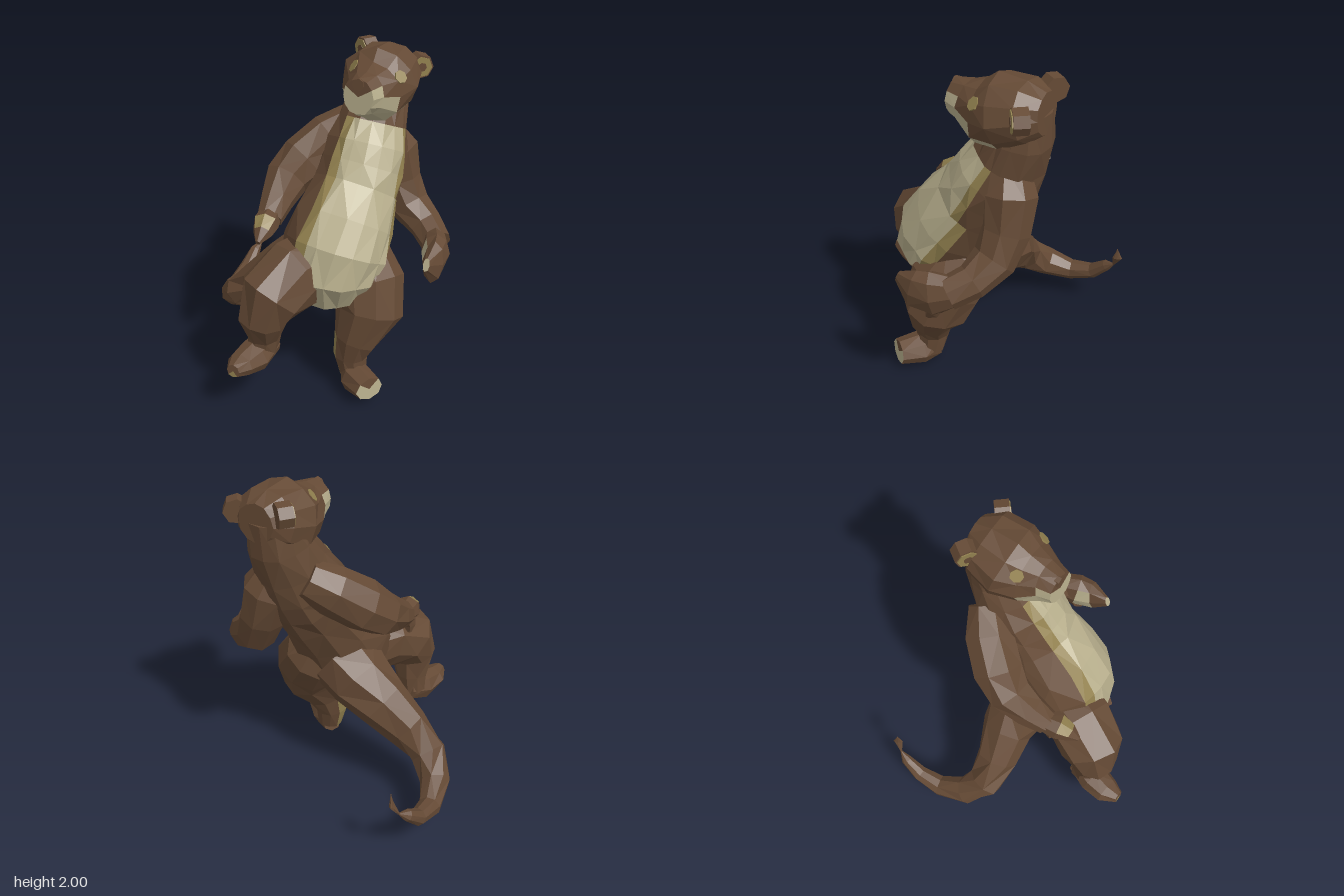
import * as THREE from 'three';

const V = (x, y, z) => new THREE.Vector3(x, y, z);
const paint = (name, color) => Object.assign(new THREE.MeshStandardMaterial({ color }), { name });
const brown = paint('brown fur', 0x654a35);
const cream = paint('cream fur', 0xb7ae8c);
const tan = paint('tan fur', 0x92814f);
const MATS = [brown, cream, tan];

const ring = n => Array.from({ length: n }, (_, i) => (i * 360) / n);

// Faceted skin over rows of [x, y, z, half width, half depth].
// Angle 0 lies towards `front`; pick(row, folded angle, full angle) gives the
// colour index, with row -1 for the start cap and the last row for the end cap.
function loft(name, rows, front, angles = ring(8), pick = () => 0) {
  const centre = rows.map(r => V(r[0], r[1], r[2]));
  const last = rows.length - 1;
  const n = angles.length;
  const rings = rows.map((r, j) => {
    const t = centre[Math.min(j + 1, last)].clone().sub(centre[Math.max(j - 1, 0)]).normalize();
    const f = front.clone().addScaledVector(t, -front.dot(t)).normalize();
    const s = t.clone().cross(f);
    return angles.map((deg, i) => {
      const a = THREE.MathUtils.degToRad(deg);
      const wobble = 1 + 0.03 * Math.sin(i * 2.7 + j * 4.1);
      return centre[j].clone()
        .addScaledVector(f, Math.cos(a) * (r[4] ?? r[3]) * wobble)
        .addScaledVector(s, Math.sin(a) * r[3] * wobble);
    });
  });
  const faces = [[], [], []];
  for (let i = 0; i < n; i++) {
    const k = (i + 1) % n;
    const full = (angles[i] + (k ? angles[k] : angles[0] + 360)) / 2;
    const folded = full > 180 ? 360 - full : full;
    faces[pick(-1, folded, full)].push(centre[0], rings[0][k], rings[0][i]);
    faces[pick(last, folded, full)].push(centre[last], rings[last][i], rings[last][k]);
    for (let j = 0; j < last; j++) {
      const [a, b, c, d] = [rings[j][i], rings[j][k], rings[j + 1][k], rings[j + 1][i]];
      const tris = (i + j) % 2 ? [a, b, c, a, c, d] : [a, b, d, b, c, d];
      faces[pick(j, folded, full)].push(...tris);
    }
  }
  const geo = new THREE.BufferGeometry().setFromPoints(faces.flat());
  let start = 0;
  faces.forEach((list, m) => {
    if (list.length) geo.addGroup(start, list.length, m);
    start += list.length;
  });
  geo.computeVertexNormals();
  const mesh = new THREE.Mesh(geo, MATS);
  mesh.name = name;
  return mesh;
}

// Disc whose axis points along dir
function disc(name, mat, radius, depth, pos, dir, sides = 7) {
  const geo = new THREE.CylinderGeometry(radius, radius, depth, sides).toNonIndexed();
  geo.computeVertexNormals();
  const mesh = new THREE.Mesh(geo, mat);
  mesh.name = name;
  mesh.position.copy(pos);
  mesh.quaternion.setFromUnitVectors(V(0, 1, 0), dir);
  return mesh;
}

export function createModel() {
  const model = new THREE.Group();
  model.name = 'otter';
  const UP = V(0, 1, 0);

  // Leaning torso and neck, cream belly edged in tan
  model.add(loft('torso', [
    [0.0, 0.6, 0.21, 0.1],
    [-0.02, 0.67, 0.225, 0.21],
    [-0.03, 0.78, 0.23, 0.285],
    [0.02, 0.9, 0.23, 0.305],
    [0.11, 1.04, 0.22, 0.285],
    [0.23, 1.2, 0.2, 0.25],
    [0.3, 1.31, 0.19, 0.245],
    [0.36, 1.42, 0.18, 0.235],
    [0.42, 1.54, 0.165, 0.2],
    [0.48, 1.68, 0.16, 0.175],
    [0.5, 1.85, 0.16, 0.15],
  ], V(-0.6, 0, 0.75),
  [0, 20, 40, 52, 66, 95, 120, 150, 180, 210, 240, 265, 294, 308, 320, 340],
  (row, a, full) => {
    const edge = row >= 5 && full < 180 ? 40 : 52;
    return row > 7 || a > edge + 14 ? 0 : a > edge ? 2 : 1;
  }));

  // Head turned to its right, with a cream jaw
  const side = V(0.31, 0, 0.95).normalize();
  const face = V(-0.95, 0, 0.31).normalize();
  const head = loft('head', [
    [0.635, 1.84, 0.14, 0.11, 0.11],
    [0.56, 1.835, 0.165, 0.195, 0.16],
    [0.42, 1.795, 0.2, 0.22, 0.205],
    [0.3, 1.77, 0.24, 0.17, 0.175],
    [0.2, 1.8, 0.265, 0.115, 0.12],
    [0.125, 1.805, 0.28, 0.09, 0.1],
  ], UP, ring(12), (row, a) => {
    if (row >= 4) return a > 70 ? 1 : 0;
    if (row === 3) return a > 80 ? 1 : 0;
    return row === 2 && a > 130 ? 1 : 0;
  });
  model.add(head);
  model.add(disc('nose', brown, 0.035, 0.03, V(0.135, 1.875, 0.275), face));

  // Eyes set on the surface, and ears with a tan rim; the right side sits higher
  for (const s of [1, -1]) {
    const label = s > 0 ? 'left' : 'right';
    const target = V(0.32, s > 0 ? 1.875 : 1.9, 0.235);
    const inward = side.clone().multiplyScalar(-s);
    const ray = new THREE.Raycaster(target.clone().addScaledVector(inward, -1), inward);
    const hit = ray.intersectObject(head)[0];
    if (hit) model.add(disc(label + 'Eye', tan, 0.038, 0.009, hit.point, hit.face.normal));

    const pos = s > 0 ? V(0.63, 1.86, 0.32) : V(0.55, 1.91, 0.01);
    const out = face.clone().addScaledVector(side, s * 0.75).normalize();
    model.add(disc(label + 'Ear', brown, 0.07, 0.08, pos, out));
    model.add(disc(label + 'EarRim', tan, 0.06, 0.008, pos.clone().addScaledVector(out, 0.042), out));
    model.add(disc(label + 'EarHole', brown, 0.026, 0.006, pos.clone().addScaledVector(out, 0.046), out));
  }

  // Left arm, bent forward
  model.add(loft('leftArm', [
    [0.46, 1.51, 0.21, 0.1],
    [0.51, 1.37, 0.25, 0.15],
    [0.53, 1.18, 0.3, 0.13],
    [0.53, 1.03, 0.38, 0.12],
    [0.51, 0.95, 0.52, 0.1],
    [0.45, 0.9, 0.64, 0.09],
  ], V(1, 0, 0.3)));
  model.add(loft('leftHand', [
    [0.47, 0.91, 0.61, 0.07, 0.09],
    [0.38, 0.88, 0.68, 0.08, 0.14],
    [0.28, 0.88, 0.73, 0.06, 0.125],
    [0.18, 0.92, 0.75, 0.02, 0.04],
  ], UP, ring(8), (row, a, full) => (row === 3 || (row === 1 && full > 60 && full < 120) ? 1 : 0)));
  model.add(loft('leftThumb', [
    [0.4, 0.83, 0.66, 0.06],
    [0.37, 0.76, 0.67, 0.05],
    [0.34, 0.71, 0.69, 0.015],
  ], V(0, 0, 1), ring(5)));

  // Right arm, elbow swung back
  model.add(loft('rightArm', [
    [0.42, 1.5, 0.02, 0.11],
    [0.31, 1.42, -0.06, 0.14],
    [0.16, 1.3, -0.13, 0.15],
    [0.04, 1.21, -0.155, 0.13],
    [-0.09, 1.13, -0.12, 0.1],
    [-0.2, 1.07, -0.08, 0.075],
  ], V(0, 0, 1)));
  model.add(loft('rightHand', [
    [-0.18, 1.08, -0.09, 0.065],
    [-0.26, 1.07, -0.05, 0.075, 0.08],
    [-0.32, 1.05, -0.02, 0.055],
    [-0.38, 1.02, 0, 0.015],
  ], UP, ring(7), (row, a) => (row === 1 && a < 40 ? 2 : 0)));
  model.add(loft('rightThumb', [
    [-0.23, 1.04, -0.08, 0.05],
    [-0.24, 0.98, -0.09, 0.035],
    [-0.23, 0.94, -0.1, 0.012],
  ], V(0, 0, 1), ring(5)));

  // Left leg, planted in front, tan behind the ankle
  model.add(loft('leftLeg', [
    [0.18, 0.93, 0.19, 0.12],
    [0.18, 0.82, 0.25, 0.2],
    [0.14, 0.67, 0.38, 0.22],
    [0.1, 0.52, 0.43, 0.2],
    [0.02, 0.34, 0.4, 0.135],
    [0.0, 0.22, 0.38, 0.1],
    [0.0, 0.1, 0.4, 0.08],
  ], V(-0.6, 0, -1), ring(10), (row, a) => (row >= 4 && row < 6 && a < 36 ? 2 : 0)));
  model.add(loft('leftFoot', [
    [0.02, 0.12, 0.36, 0.06, 0.08],
    [-0.03, 0.1, 0.45, 0.1, 0.1],
    [-0.08, 0.115, 0.59, 0.09, 0.07],
  ], UP, ring(8), (row, a) => (row === 2 && a > 60 ? 1 : row >= 1 && a > 125 ? 2 : 0)));

  // Right leg, lifted out to the side
  model.add(loft('rightLeg', [
    [-0.05, 0.82, 0.17, 0.2],
    [-0.25, 0.81, 0.14, 0.205],
    [-0.4, 0.73, 0.11, 0.195],
    [-0.45, 0.59, 0.09, 0.14],
    [-0.42, 0.46, 0.07, 0.1],
    [-0.42, 0.35, 0.06, 0.09],
  ], V(0, 0, 1), ring(9)));
  model.add(loft('rightFoot', [
    [-0.36, 0.38, 0.06, 0.08, 0.08],
    [-0.5, 0.34, 0.065, 0.1, 0.1],
    [-0.62, 0.35, 0.07, 0.085, 0.065],
    [-0.7, 0.36, 0.09, 0.04, 0.04],
  ], UP, ring(8), (row, a) => (a > 125 && row !== 0 ? 2 : 0)));

  // Curling tail with a pinched leaf-shaped tip
  model.add(loft('tail', [
    [0.1, 0.8, 0.1, 0.22],
    [0.09, 0.71, -0.03, 0.2],
    [0.05, 0.6, -0.18, 0.16],
    [-0.02, 0.47, -0.33, 0.13],
    [-0.06, 0.34, -0.47, 0.11],
    [0.0, 0.24, -0.6, 0.09],
    [0.14, 0.2, -0.7, 0.065],
    [0.28, 0.24, -0.75, 0.05],
    [0.38, 0.33, -0.765, 0.035],
    [0.435, 0.37, -0.76, 0.006],
    [0.475, 0.45, -0.74, 0.012, 0.03],
    [0.475, 0.52, -0.735, 0.003],
  ], V(0.1, 1, 0.3)));

  return model;
}
